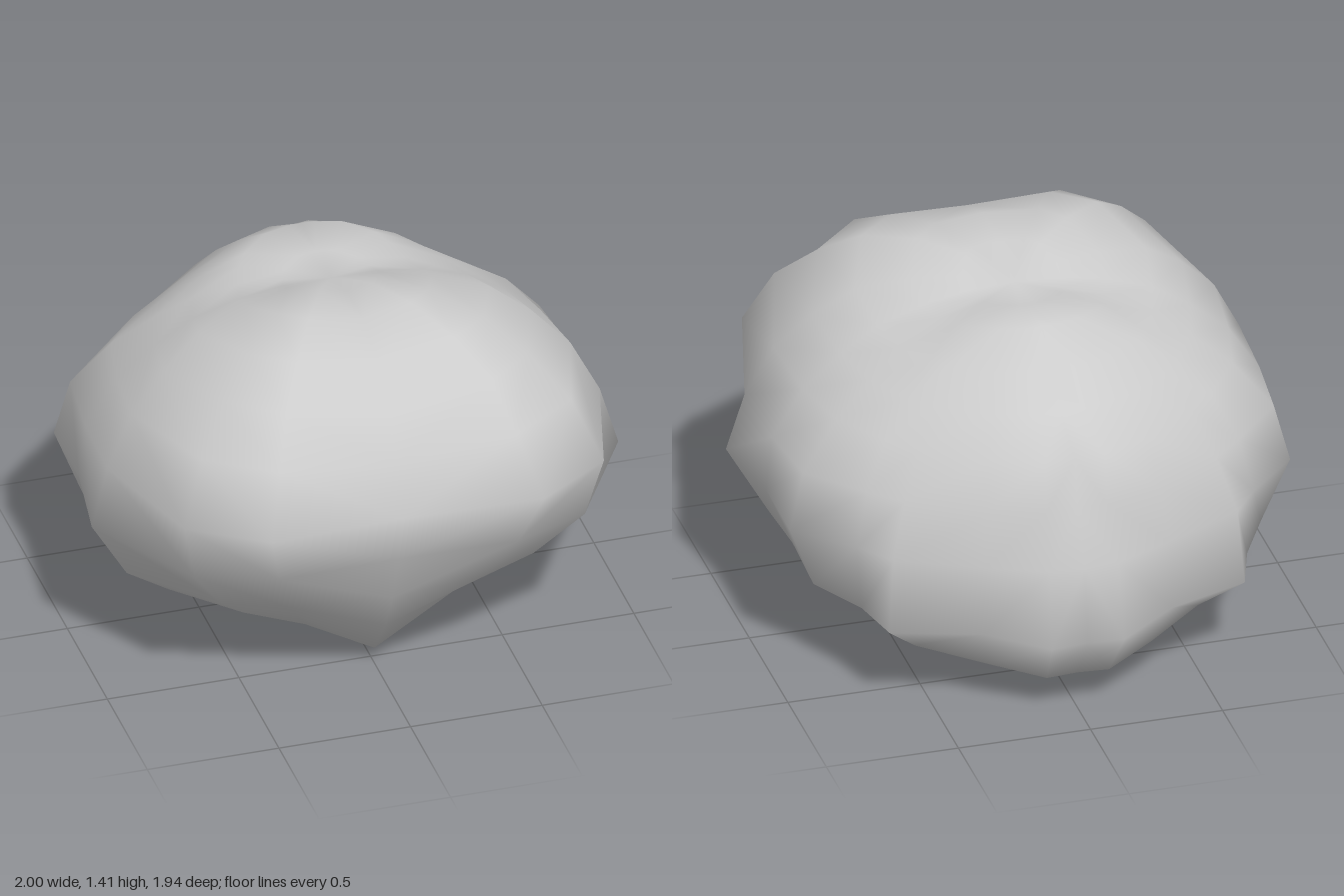
import * as THREE from 'three';

// Directions around one half of the boulder, from the front (0) to the back (180)
const AZIMUTHS = [0, 28, 45, 73, 92, 110, 126, 136, 157, 172, 180];

// One ring per latitude: distance from the centre in each direction above
const RINGS = [
  { lat: 74, r: [0.72, 0.73, 0.72, 0.68, 0.65, 0.64, 0.65, 0.65, 0.66, 0.66, 0.66] },
  { lat: 60, r: [0.81, 0.82, 0.81, 0.74, 0.69, 0.68, 0.70, 0.72, 0.74, 0.74, 0.74] },
  { lat: 46, r: [0.87, 0.915, 0.91, 0.83, 0.75, 0.73, 0.73, 0.74, 0.75, 0.76, 0.75] },
  { lat: 34, r: [0.89, 1.00, 0.98, 0.88, 0.80, 0.78, 0.76, 0.76, 0.78, 0.75, 0.74] },
  { lat: 22, r: [0.91, 1.035, 1.07, 0.94, 0.87, 0.86, 0.82, 0.80, 0.83, 0.87, 0.865] },
  { lat: 9, r: [0.92, 1.115, 1.14, 0.99, 0.935, 0.96, 0.88, 0.86, 0.86, 0.845, 0.84] },
  { lat: -4, r: [0.86, 0.97, 1.05, 1.048, 0.95, 1.01, 0.93, 0.94, 0.90, 0.93, 0.925] },
  { lat: -20, r: [0.82, 0.85, 0.89, 0.95, 0.90, 0.96, 0.96, 1.03, 0.97, 1.045, 1.03] },
  { lat: -33, r: [0.82, 0.77, 0.80, 0.845, 0.83, 0.85, 0.88, 0.92, 0.95, 1.01, 1.00] },
  { lat: -49, r: [0.835, 0.74, 0.73, 0.73, 0.73, 0.74, 0.76, 0.77, 0.79, 0.80, 0.80] },
  { lat: -70, r: [0.66, 0.66, 0.66, 0.67, 0.68, 0.69, 0.70, 0.71, 0.72, 0.735, 0.74] },
];
const CENTRE_Y = 0.7, TOP_Y = 1.33, BOTTOM_Y = 0.04;

function boulderGeometry() {
  const half = AZIMUTHS.length, n = 2 * half - 2;
  const positions = [0, TOP_Y, 0], index = [];

  // Rings, with the second half mirrored across x
  for (const { lat, r } of RINGS) {
    const a = THREE.MathUtils.degToRad(lat);
    for (let i = 0; i < n; i++) {
      const k = i < half ? i : n - i;
      const side = i < half ? 1 : -1;
      const az = THREE.MathUtils.degToRad(AZIMUTHS[k]);
      const h = r[k] * Math.cos(a);
      positions.push(side * h * Math.sin(az), CENTRE_Y + r[k] * Math.sin(a), h * Math.cos(az));
    }
  }
  positions.push(0, BOTTOM_Y, 0);

  // Caps and the bands between rings
  const at = (row, i) => 1 + row * n + (i % n);
  const last = RINGS.length - 1, bottom = 1 + RINGS.length * n;
  for (let i = 0; i < n; i++) {
    index.push(0, at(0, i), at(0, i + 1));
    for (let row = 0; row < last; row++) {
      const a = at(row, i), b = at(row, i + 1), c = at(row + 1, i), d = at(row + 1, i + 1);
      // Mirror the diagonals as well
      if (i < half - 1) index.push(a, c, b, b, c, d);
      else index.push(a, c, d, a, d, b);
    }
    index.push(at(last, i), bottom, at(last, i + 1));
  }

  const geometry = new THREE.BufferGeometry();
  geometry.setAttribute('position', new THREE.Float32BufferAttribute(positions, 3));
  geometry.setIndex(index);
  geometry.computeVertexNormals();
  return geometry;
}

export function createModel() {
  const group = new THREE.Group();
  group.name = 'rock';
  const boulder = new THREE.Mesh(boulderGeometry(), new THREE.MeshStandardMaterial({ color: 0xcccccc }));
  boulder.name = 'boulder';
  group.add(boulder);
  return group;
}
